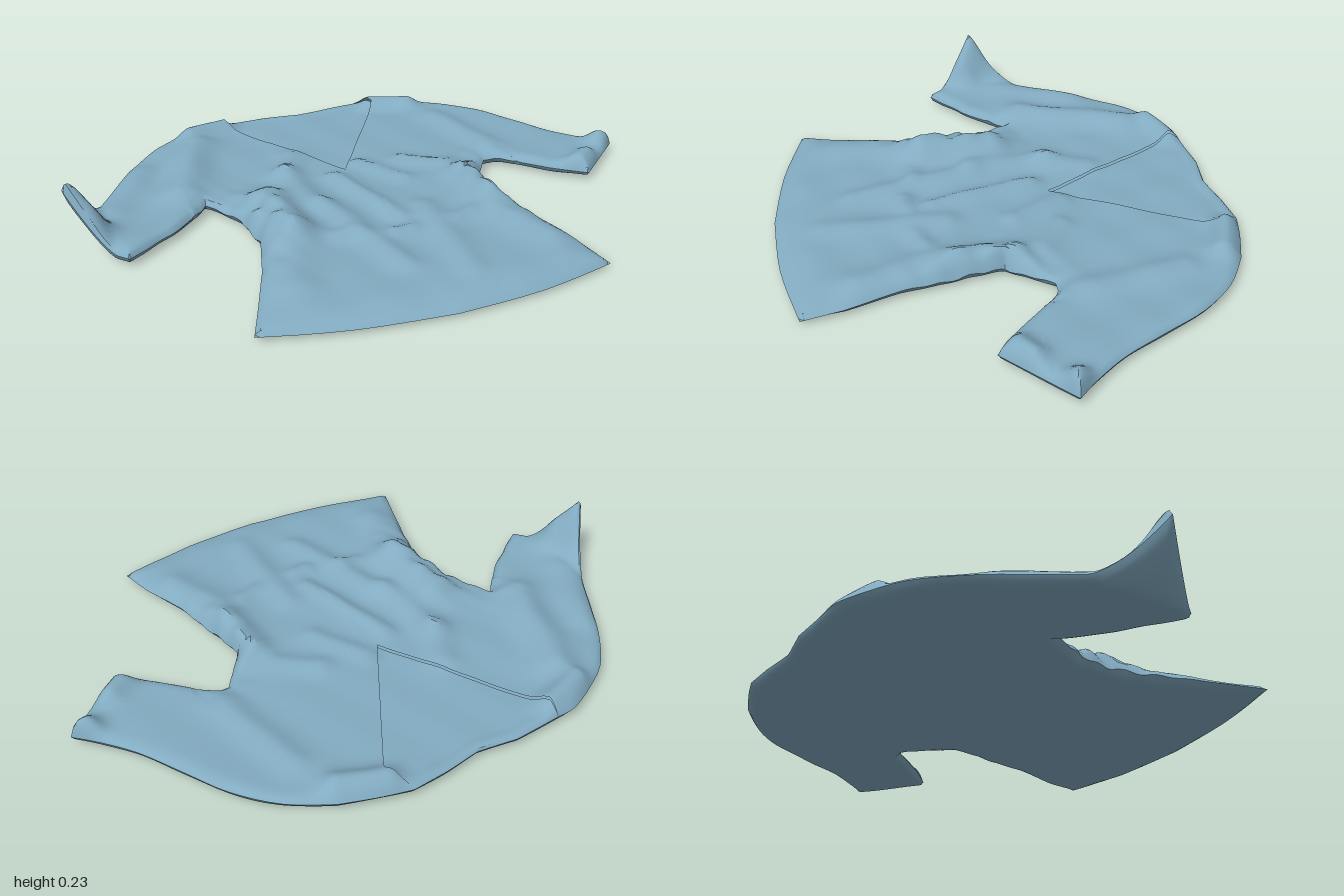
import * as THREE from 'three';
import { mergeGeometries, mergeVertices, toCreasedNormals } from 'three/addons/utils/BufferGeometryUtils.js';

const clamp = THREE.MathUtils.clamp;
const lerp2 = (a, b, t) => [a[0] + (b[0] - a[0]) * t, a[1] + (b[1] - a[1]) * t];
// Round off a row of points with a smooth curve.
const smooth = (row, n) => new THREE.SplineCurve(row.map((p) => new THREE.Vector2(...p))).getPoints(n).map((v) => [v.x, v.y]);

// Cages are rows of [x, z] points, seen from above.
const torsoL = [
  [[0.23, -0.765], [0.33, -0.74], [0.45, -0.70]],
  [[0.28, -0.68], [0.37, -0.61], [0.46, -0.5475]],
  [[0.18, -0.51], [0.33, -0.45], [0.47, -0.395]],
  [[0.08, -0.34], [0.28, -0.29], [0.48, -0.2425]],
  [[-0.02, -0.17], [0.22, -0.13], [0.49, -0.09]],
  [[-0.02, 0.02], [0.2, 0.03], [0.39, 0.05]],
  [[-0.02, 0.20], [0.2, 0.20], [0.41, 0.18]],
  [[-0.02, 0.40], [0.23, 0.38], [0.45, 0.38]],
  [[-0.02, 0.58], [0.24, 0.56], [0.505, 0.55]],
  [[-0.02, 0.765], [0.26, 0.745], [0.53, 0.685]],
].map((r) => smooth(r, 8));
const torsoR = [
  [[-0.32, -0.74], [-0.39, -0.735], [-0.47, -0.70]],
  [[-0.32, -0.69], [-0.4, -0.61], [-0.4875, -0.5525]],
  [[-0.22, -0.515], [-0.36, -0.45], [-0.505, -0.405]],
  [[-0.12, -0.345], [-0.32, -0.29], [-0.5225, -0.2575]],
  [[-0.02, -0.17], [-0.28, -0.14], [-0.54, -0.11]],
  [[-0.02, 0.02], [-0.24, 0.03], [-0.46, 0.04]],
  [[-0.02, 0.20], [-0.24, 0.20], [-0.44, 0.20]],
  [[-0.02, 0.40], [-0.25, 0.39], [-0.485, 0.37]],
  [[-0.02, 0.58], [-0.28, 0.57], [-0.55, 0.55]],
  [[-0.02, 0.765], [-0.32, 0.735], [-0.595, 0.67]],
].map((r) => smooth(r, 8));
// Sleeves: upper seam and lower seam, shoulder to cuff.
const sleeveL = [
  [[0.45, -0.70], [0.58, -0.62], [0.69, -0.50], [0.77, -0.36], [0.85, -0.22], [0.93, -0.12], [1.0, -0.05]],
  [[0.49, -0.09], [0.54, -0.085], [0.59, -0.04], [0.64, 0.01], [0.69, 0.06], [0.74, 0.10], [0.79, 0.14]],
].map((r) => smooth(r, 24));
const sleeveR = [
  [[-0.47, -0.70], [-0.60, -0.62], [-0.71, -0.49], [-0.79, -0.36], [-0.86, -0.24], [-0.93, -0.13], [-1.0, -0.03]],
  [[-0.54, -0.11], [-0.57, -0.07], [-0.61, -0.03], [-0.67, 0.03], [-0.73, 0.07], [-0.78, 0.11], [-0.84, 0.15]],
].map((r) => smooth(r, 24));
// Neck: spans the V between the two inner edges.
const neck = torsoL.slice(0, 5).map((row, i) =>
  [0, 0.3, 0.55, 0.78, 1].map((t, j) => {
    const p = lerp2(torsoR[i][0], row[0], t);
    if (i === 0) p[1] += [0, -0.005, 0.02, 0.005, 0][j];
    return p;
  }));

// Outline of the garment, used to bring the two layers together at the seams.
const outline = [];
const addEdge = (pts) => { for (let i = 1; i < pts.length; i++) outline.push([pts[i - 1], pts[i]]); };
for (const t of [torsoL, torsoR]) {
  addEdge(t.slice(4).map((r) => r.at(-1)));
  addEdge(t[0]);
  addEdge(t.at(-1));
}
for (const s of [sleeveL, sleeveR]) {
  addEdge(s[0]);
  addEdge(s[1]);
  addEdge([s[0].at(-1), s[1].at(-1)]);
}
addEdge(neck[0]);

function segDist(x, z, [a, b]) {
  const dx = b[0] - a[0], dz = b[1] - a[1];
  const t = clamp(((x - a[0]) * dx + (z - a[1]) * dz) / (dx * dx + dz * dz), 0, 1);
  return Math.hypot(x - a[0] - t * dx, z - a[1] - t * dz);
}

// Folds: x0, z0, x1, z1, width, height
const folds = [
  // chest and waist
  [-0.17, -0.34, -0.23, -0.2, 0.05, 0.02], [-0.23, -0.2, -0.21, 0.08, 0.045, 0.02],
  [-0.35, -0.02, -0.34, 0.22, 0.075, 0.055], [-0.36, 0.24, -0.42, 0.5, 0.07, 0.02],
  [0.35, 0.02, 0.36, 0.2, 0.06, 0.045], [0.34, 0.28, 0.42, 0.5, 0.06, 0.02],
  [-0.18, 0.08, -0.08, 0.5, 0.045, 0.018], [-0.08, -0.12, 0.02, 0.24, 0.035, 0.02],
  [0.04, -0.2, 0.14, -0.02, 0.035, 0.018], [0.12, 0.2, 0.1, 0.6, 0.05, 0.018],
  [0.2, -0.17, 0.32, -0.08, 0.04, 0.02],
  // shoulders
  [-0.47, -0.65, -0.33, -0.69, 0.045, 0.035], [0.28, -0.7, 0.42, -0.65, 0.045, 0.035],
  // sleeves
  [-0.47, -0.55, -0.6, -0.18, 0.07, 0.035], [0.48, -0.5, 0.55, -0.17, 0.05, 0.015],
  [-0.7, -0.4, -0.84, -0.14, 0.06, 0.015], [0.78, 0.08, 0.83, 0.05, 0.045, 0.03],
  [0.95, -0.06, 0.97, -0.05, 0.045, 0.045],
  // gathers on the belly
  [-0.21, 0.29, -0.16, 0.29, 0.035, 0.018], [-0.03, 0.33, 0.02, 0.33, 0.035, 0.02],
  [0.19, 0.31, 0.25, 0.29, 0.035, 0.018],
  // curled cuff
  [-0.97, -0.04, -0.92, 0.0, 0.06, 0.06],
];

const edgeOf = (x, z) => Math.min(...outline.map((s) => segDist(x, z, s)));
const round = (t) => Math.sqrt(t * (2 - t));
// The cuff on the right curls up off the ground.
const lift = (x) => 0.18 * clamp((-x - 0.87) / 0.13, 0, 1) ** 1.4;
// Tight gathers along the sides of the waist.
const gather = (x, z) => clamp((Math.abs(x) - 0.3) / 0.1, 0, 1) * Math.exp(-(((z - 0.12) / 0.2) ** 2)) *
  (Math.sin(z * 62 + x * 25) + Math.sin(z * 37 - x * 70)) * (Math.abs(x) < 0.6 ? 0.007 : 0);
// The hem lies thin and flat.
const hem = (z) => clamp((z - 0.4) / 0.3, 0, 1);
const seamY = (x, z) => 0.03 - 0.016 * hem(z) + lift(x) + gather(x, z) * 0.7;

function topY(x, z) {
  const t = clamp(edgeOf(x, z) / (0.045 + 0.1 * hem(z)), 0, 1);
  let h = 0.046 + 0.008 * Math.exp(-(((z - 0.15) / 0.25) ** 2)) + lift(x) + gather(x, z);
  for (const [a, b, c, d, width, high] of folds)
    h += high * Math.exp(-((segDist(x, z, [[a, b], [c, d]]) / width) ** 2));
  h += 0.003 * Math.sin(x * 23 + z * 9) * Math.sin(z * 19 - x * 7);
  return THREE.MathUtils.lerp(seamY(x, z), h, round(t));
}
// Inside of the neck sits just under the front edges.
const neckY = (x, z) => topY(x, z) - 0.01 * clamp(edgeOf(x, z) / 0.045, 0, 1);
function bottomY(x, z) {
  const t = clamp(edgeOf(x, z) / 0.05, 0, 1);
  const low = lift(x) + 0.004 * (1 + Math.sin(x * 17 + z * 5) * Math.sin(z * 15));
  return THREE.MathUtils.lerp(seamY(x, z), low, round(t));
}

// Subdivide a cage, give it height and turn every face up or down.
function patch(cage, nu, nv, height, up) {
  const U = (cage[0].length - 1) * nu, V = (cage.length - 1) * nv;
  const pos = [], index = [];
  for (let j = 0; j <= V; j++) for (let i = 0; i <= U; i++) {
    const r = Math.min(Math.floor(j / nv), cage.length - 2), c = Math.min(Math.floor(i / nu), cage[0].length - 2);
    const s = i / nu - c;
    const [x, z] = lerp2(lerp2(cage[r][c], cage[r][c + 1], s), lerp2(cage[r + 1][c], cage[r + 1][c + 1], s), j / nv - r);
    pos.push(x, height(x, z), z);
  }
  const tri = (a, b, c) => {
    const [ax, az, bx, bz, cx, cz] = [a, b, c].flatMap((k) => [pos[k * 3], pos[k * 3 + 2]]);
    const ny = (bz - az) * (cx - ax) - (bx - ax) * (cz - az);
    if (Math.abs(ny) < 1e-9) return;
    index.push(...((ny > 0) === up ? [a, b, c] : [a, c, b]));
  };
  for (let j = 0; j < V; j++) for (let i = 0; i < U; i++) {
    const a = j * (U + 1) + i, d = a + U + 1;
    tri(a, a + 1, d);
    tri(a + 1, d + 1, d);
  }
  const g = new THREE.BufferGeometry();
  g.setAttribute('position', new THREE.Float32BufferAttribute(pos, 3));
  g.setIndex(index);
  return g;
}

export function createModel() {
  const group = new THREE.Group();
  group.name = 'shirt';
  const material = new THREE.MeshStandardMaterial({ color: 0x82abc1, side: THREE.DoubleSide });
  const body = [[torsoL, 3, 10], [torsoR, 3, 10], [sleeveL, 2, 40], [sleeveR, 2, 40]];
  const opening = [neck, 6, 10];
  const addCloth = (name, cages, height, up) => {
    const merged = mergeVertices(mergeGeometries(cages.map((c) => patch(...c, height, up))), 1e-4);
    const mesh = new THREE.Mesh(toCreasedNormals(merged, 0.6), material);
    mesh.name = name;
    group.add(mesh);
  };
  addCloth('frontPanelAndSleeves', body, topY, true);
  addCloth('neckOpening', [opening], neckY, true);
  addCloth('backPanel', [...body, opening], bottomY, false);
  return group;
}
